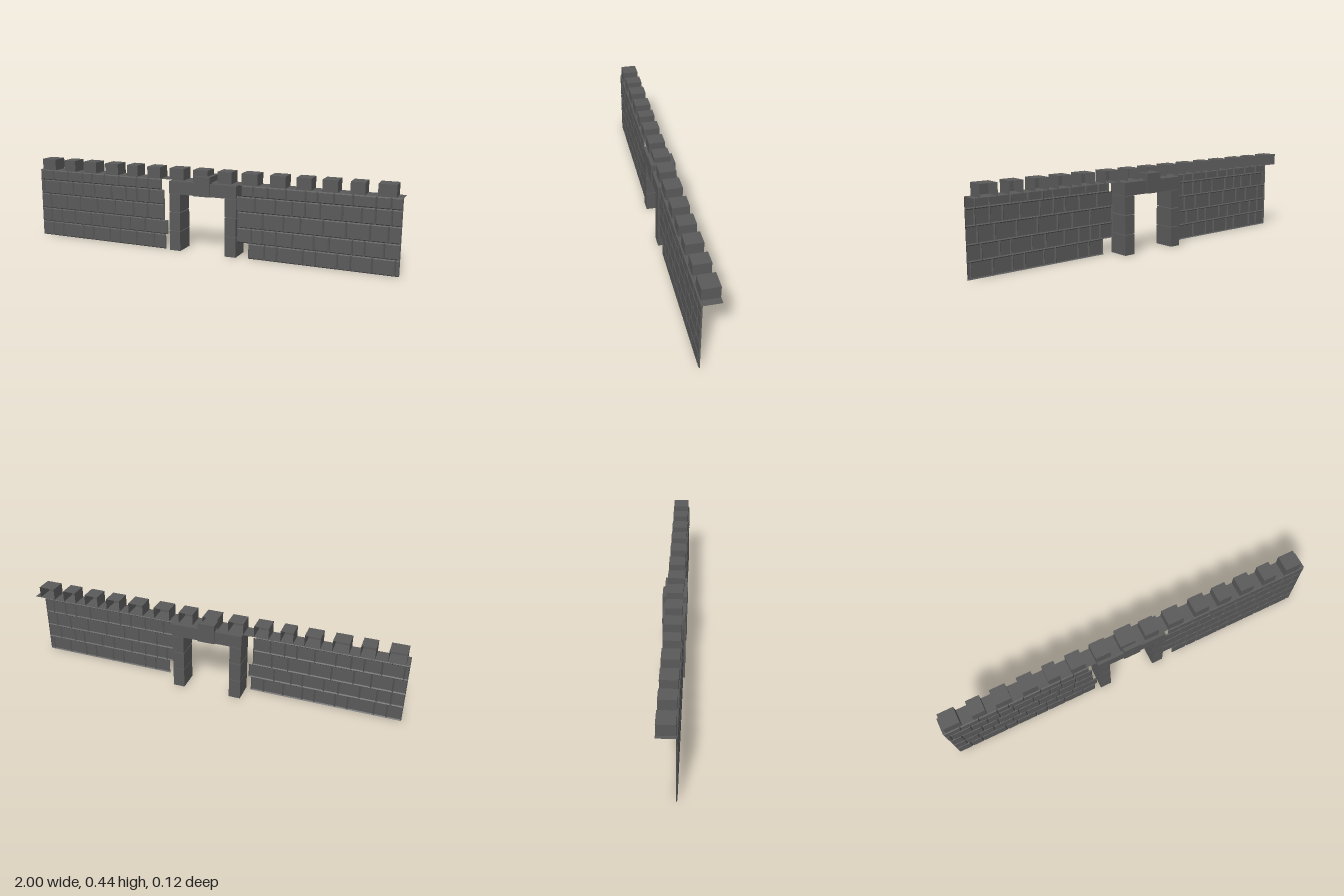
import * as THREE from 'three';
import { mergeGeometries } from 'three/addons/utils/BufferGeometryUtils.js';

const stone = new THREE.MeshStandardMaterial({ color: 0x5a5a5b, side: THREE.DoubleSide });
stone.name = 'darkStone';

// Box face order: +x, -x, +y, -y, +z, -z
const BOTTOM = 3, BACK = 5;

// Box given by its limits, with the listed faces left open
function openBox(x0, x1, y0, y1, z0, z1, omit = []) {
  const g = new THREE.BoxGeometry(x1 - x0, y1 - y0, z1 - z0);
  const old = g.getIndex().array;
  g.setIndex(Array.from(old).filter((_, i) => !omit.includes(Math.floor(i / 6))));
  g.clearGroups();
  g.translate((x0 + x1) / 2, (y0 + y1) / 2, (z0 + z1) / 2);
  return g;
}

// Shallow brick with an open back and a bevelled rim
function brick(x0, x1, y0, y1) {
  const g = openBox(x0, x1, y0, y1, 0.043, 0.049, [BACK]);
  const p = g.attributes.position, bevel = 0.005;
  const cx = (x0 + x1) / 2, cy = (y0 + y1) / 2;
  for (let i = 0; i < p.count; i++) {
    if (p.getZ(i) < 0.046) continue;
    p.setX(i, p.getX(i) - Math.sign(p.getX(i) - cx) * bevel);
    p.setY(i, p.getY(i) - Math.sign(p.getY(i) - cy) * bevel);
  }
  g.computeVertexNormals();
  return g;
}

// Brick rows: height limits, joints, inner end of the -x wall, inner end of the +x wall
const rows = [
  { y: [0, 0.08], left: -0.214, right: 0.25,
    joints: [-0.925, -0.861, -0.727, -0.663, -0.556, -0.492, -0.39, -0.283] },
  { y: [0.08, 0.157], left: -0.2, right: 0.187,
    joints: [-0.995, -0.936, -0.866, -0.781, -0.674, -0.599, -0.487, -0.428, -0.337] },
  { y: [0.157, 0.24], left: -0.22, right: 0.187,
    joints: [-0.936, -0.829, -0.743, -0.631, -0.519, -0.406, -0.321] },
  { y: [0.24, 0.318], left: -0.22, right: 0.182,
    joints: [-0.979, -0.872, -0.786, -0.722, -0.647, -0.54, -0.449, -0.385, -0.31] },
  { y: [0.318, 0.375], left: -0.235, right: 0.21,
    joints: [-0.99, -0.914, -0.818, -0.722, -0.663, -0.583, -0.492, -0.385, -0.316] },
];
const REPEAT = 1.262; // distance at which the bond pattern repeats

function brickWall(name, limits, shift) {
  const parts = [];
  for (const row of rows) {
    const [a, b] = limits(row);
    const inner = row.joints.map((x) => x + shift).filter((x) => x > a + 0.012 && x < b - 0.012);
    const xs = [a, ...inner, b];
    for (let i = 0; i < xs.length - 1; i++) parts.push(brick(xs[i], xs[i + 1], ...row.y));
  }
  const mesh = new THREE.Mesh(mergeGeometries(parts), stone);
  mesh.name = name;
  return mesh;
}

export function createModel() {
  const model = new THREE.Group();
  model.name = 'castleWall';
  const add = (parent, name, geometry) => {
    const m = new THREE.Mesh(geometry, stone);
    m.name = name;
    parent.add(m);
  };

  // Brick faces on both sides of the gate
  model.add(brickWall('rightWall', (r) => [-1, r.left], 0));
  model.add(brickWall('leftWall', (r) => [r.right, 1], REPEAT));

  // Thin walkway along the top
  const walkway = new THREE.PlaneGeometry(2, 0.086).rotateX(-Math.PI / 2).translate(0, 0.375, 0.001);
  add(model, 'walkway', walkway);

  // Battlements, open at the back
  const battlements = new THREE.Group();
  battlements.name = 'battlements';
  const merlons = [
    [-0.984, -0.9], [-0.84, -0.77], [-0.717, -0.636], [-0.578, -0.5], [-0.444, -0.38],
    [-0.321, -0.246], [-0.19, -0.11], [-0.055, 0.025], [0.08, 0.155], [0.209, 0.294],
    [0.358, 0.438], [0.492, 0.567], [0.62, 0.695], [0.754, 0.824], [0.882, 0.968],
  ];
  for (const [a, b] of merlons) {
    add(battlements, 'merlon', openBox(a, b, 0.375, 0.435, -0.041, 0.043, [BOTTOM, BACK]));
  }
  model.add(battlements);

  // Gate: two pillars of stacked blocks, a two-part lintel and a keystone
  const gate = new THREE.Group();
  gate.name = 'gate';
  for (const s of [-1, 1]) {
    const span = (p, q) => (s < 0 ? [-q, -p] : [p, q]);
    for (const [y0, y1] of [[0, 0.104], [0.107, 0.204], [0.208, 0.301]]) {
      add(gate, 'pillarBlock', openBox(...span(0.125, 0.186), y0, y1, -0.056, 0.057, [BOTTOM]));
    }
    add(gate, 'lintel', openBox(...span(0.045, 0.187), 0.303, 0.37, -0.056, 0.057));
  }
  add(gate, 'keystone', openBox(-0.045, 0.045, 0.302, 0.405, -0.062, 0.063));
  model.add(gate);

  return model;
}
